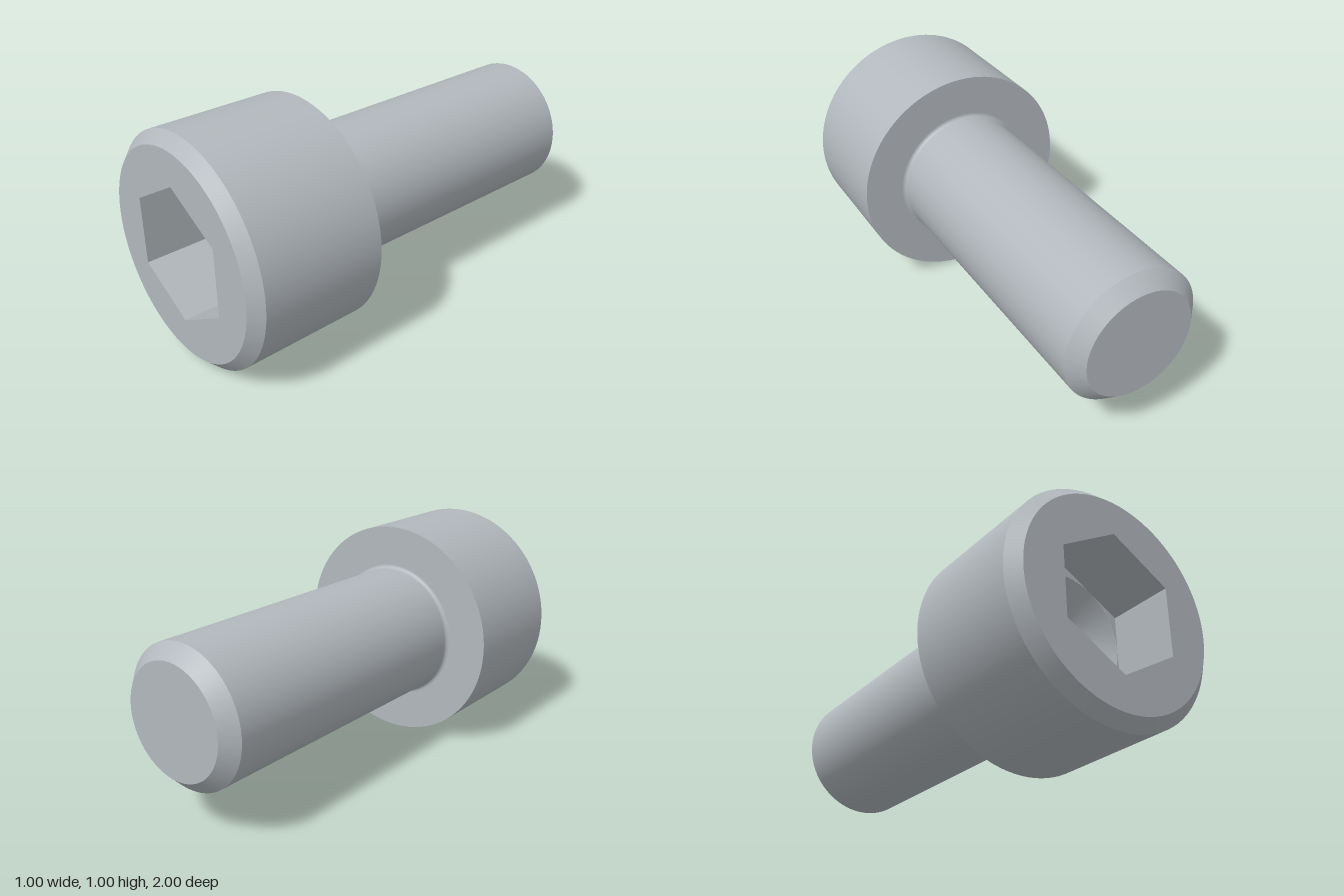
import * as THREE from 'three';

const SEGMENTS = 96;
const HEAD_R = 0.5, HEAD_BACK = 0.395, HEAD_BEVEL = 0.05;
const SHANK_R = 0.302, SHANK_BEVEL = 0.06, FILLET = 0.018;
const HEX_FLAT = 0.261, HEX_R = HEX_FLAT / Math.cos(Math.PI / 6);
const HEX_DEPTH = 0.285, CONE_R = 0.26, CONE_DEPTH = 0.15;

export function createModel() {
  const steel = new THREE.MeshStandardMaterial({ color: 0xb2b8bd });
  steel.name = 'steel';

  const model = new THREE.Group();
  model.name = 'socketHeadBolt';

  const add = (name, geometry, z = 0) => {
    const mesh = new THREE.Mesh(geometry, steel);
    mesh.name = name;
    mesh.position.set(0, 0.5, z);
    model.add(mesh);
  };

  // Surface of revolution along z, from [radius, z] pairs listed from tail to head
  const turned = (name, profile) => {
    const points = profile.map(([r, z]) => new THREE.Vector2(r, z));
    add(name, new THREE.LatheGeometry(points, SEGMENTS).rotateX(Math.PI / 2));
  };

  const hexagon = () => Array.from({ length: 6 }, (_, i) => {
    const a = Math.PI / 2 + i * Math.PI / 3;
    return new THREE.Vector2(HEX_R * Math.cos(a), HEX_R * Math.sin(a));
  });

  // Shank: flat tip, bevel, plain cylinder and the small fillet under the head
  const tipR = SHANK_R - SHANK_BEVEL;
  turned('shankTip', [[0, -1], [tipR, -1]]);
  turned('shankBevel', [[tipR, -1], [SHANK_R, -1 + SHANK_BEVEL]]);
  turned('shank', [[SHANK_R, -1 + SHANK_BEVEL], [SHANK_R, HEAD_BACK - FILLET]]);
  const fillet = Array.from({ length: 9 }, (_, i) => {
    const a = i / 8 * Math.PI / 2;
    return [SHANK_R + FILLET * (1 - Math.cos(a)), HEAD_BACK - FILLET * (1 - Math.sin(a))];
  });
  turned('shankFillet', fillet);

  // Head: underside, side wall and front bevel
  const faceR = HEAD_R - HEAD_BEVEL;
  turned('headUnderside', [[SHANK_R + FILLET, HEAD_BACK], [HEAD_R, HEAD_BACK]]);
  turned('headSide', [[HEAD_R, HEAD_BACK], [HEAD_R, 1 - HEAD_BEVEL]]);
  turned('headBevel', [[HEAD_R, 1 - HEAD_BEVEL], [faceR, 1]]);

  // Front face with the hexagonal opening
  const face = new THREE.Shape().absarc(0, 0, faceR, 0, Math.PI * 2);
  face.holes.push(new THREE.Path(hexagon()));
  add('headFace', new THREE.ShapeGeometry(face, SEGMENTS), 1);

  // Socket walls, mirrored so that they face inward
  const walls = new THREE.CylinderGeometry(HEX_R, HEX_R, HEX_DEPTH, 6, 1, true)
    .rotateX(Math.PI / 2).scale(-1, 1, 1).toNonIndexed();
  // Swap two corners of each triangle to keep the inward winding explicit
  const pos = walls.attributes.position;
  const a = new THREE.Vector3(), b = new THREE.Vector3(), c = new THREE.Vector3(), n = new THREE.Vector3();
  for (let i = 0; i < pos.count; i += 3) {
    a.fromBufferAttribute(pos, i);
    b.fromBufferAttribute(pos, i + 1);
    c.fromBufferAttribute(pos, i + 2);
    n.subVectors(b, a).cross(c.clone().sub(a));
    if (n.x * (a.x + b.x + c.x) + n.y * (a.y + b.y + c.y) > 0) {
      pos.setXYZ(i + 1, c.x, c.y, c.z);
      pos.setXYZ(i + 2, b.x, b.y, b.z);
    }
  }
  walls.computeVertexNormals();
  add('socketWalls', walls, 1 - HEX_DEPTH / 2);

  // Socket floor: flat corners around a drilled cone
  const floorZ = 1 - HEX_DEPTH;
  const floor = new THREE.Shape(hexagon());
  floor.holes.push(new THREE.Path().absarc(0, 0, CONE_R, 0, Math.PI * 2));
  add('socketFloor', new THREE.ShapeGeometry(floor, SEGMENTS), floorZ);
  turned('socketCone', [[CONE_R, floorZ], [0, floorZ - CONE_DEPTH]]);

  return model;
}
